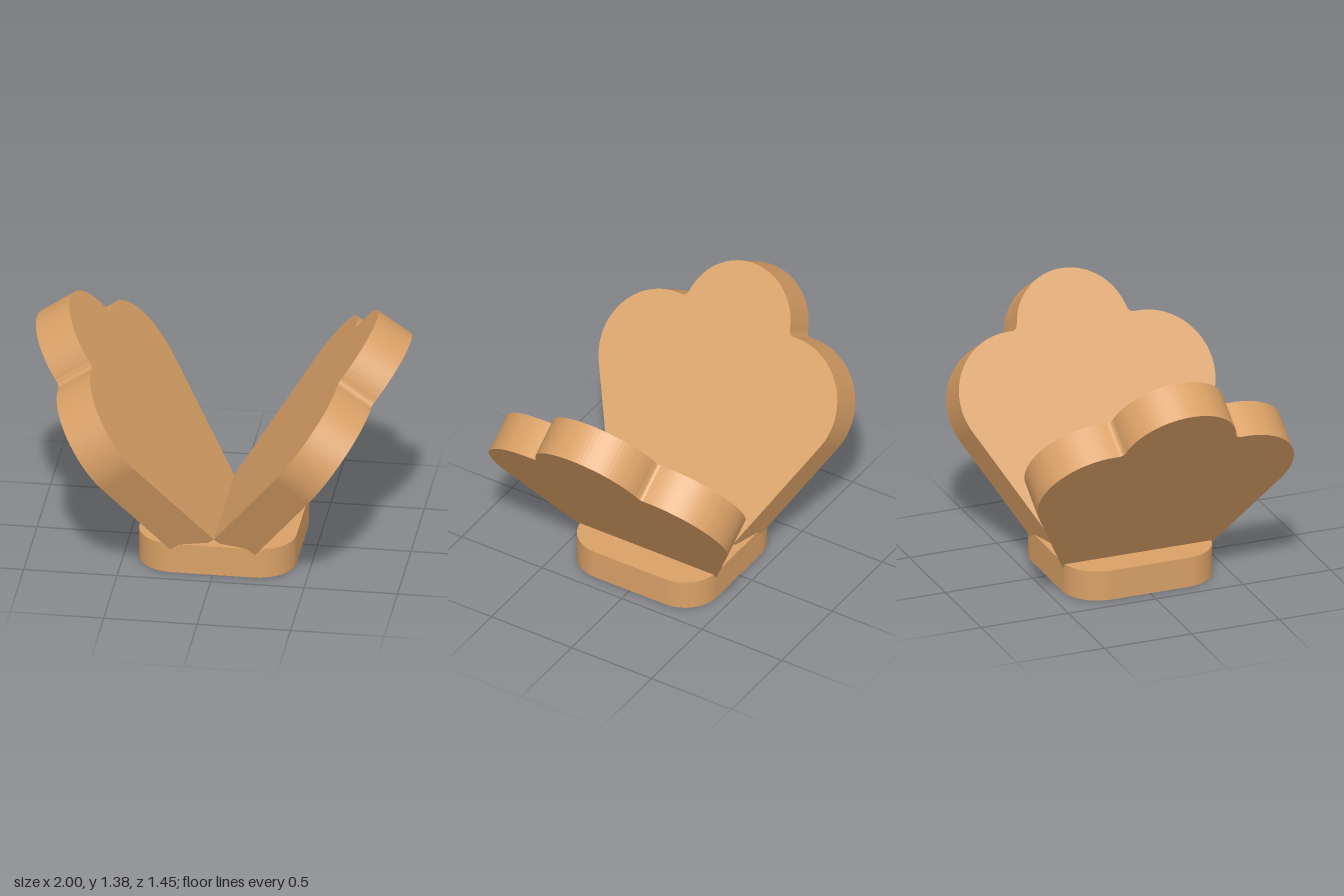
import * as THREE from 'three';

const BASE_HALF = 0.42, BASE_R = 0.2, BASE_H = 0.168, HOLE_DEPTH = 0.11;
const TILT = THREE.MathUtils.degToRad(55.3), THICK = 0.218;

function roundedSquare(h, r) {
  const s = new THREE.Shape(), c = h - r;
  s.absarc(c, c, r, 0, Math.PI / 2);
  s.absarc(-c, c, r, Math.PI / 2, Math.PI);
  s.absarc(-c, -c, r, Math.PI, Math.PI * 1.5);
  s.absarc(c, -c, r, Math.PI * 1.5, Math.PI * 2);
  s.closePath();
  return s;
}

// Three-lobed fan outline, running up from its narrow foot at y = 0
function fanOutline() {
  const a = Math.atan(0.465); // flare of the straight sides
  const s = new THREE.Shape();
  s.moveTo(-0.38, 0);
  s.lineTo(0.38, 0);
  s.absarc(0.375, 0.802, 0.35, -a, Math.PI / 2);
  s.lineTo(0.345, 1.152);
  s.quadraticCurveTo(0.322, 1.152, 0.318, 1.178); // small fillet in the notch
  s.absarc(0, 1.123, 0.32, 0.19, Math.PI - 0.19);
  s.quadraticCurveTo(-0.322, 1.152, -0.345, 1.152);
  s.absarc(-0.375, 0.802, 0.35, Math.PI / 2, Math.PI + a);
  s.closePath();
  return s;
}

function extrude(shape, depth) {
  return new THREE.ExtrudeGeometry(shape, { depth, bevelEnabled: false, curveSegments: 18 });
}

export function createModel() {
  const model = new THREE.Group();
  const tan = new THREE.MeshStandardMaterial({ color: 0xd9a066 });
  tan.name = 'tan';
  const add = (geometry, name) => {
    const mesh = new THREE.Mesh(geometry, tan);
    mesh.name = name;
    model.add(mesh);
    return mesh;
  };

  // Base: lower layer with four blind holes, closed by a solid upper layer
  const drilled = roundedSquare(BASE_HALF, BASE_R);
  for (const x of [-1, 1]) for (const y of [-1, 1]) {
    drilled.holes.push(new THREE.Path().absarc(x * 0.214, y * 0.214, 0.115, 0, Math.PI * 2, true));
  }
  add(extrude(drilled, HOLE_DEPTH).rotateX(-Math.PI / 2), 'baseWithHoles');
  add(extrude(roundedSquare(BASE_HALF, BASE_R), BASE_H - HOLE_DEPTH)
    .rotateX(-Math.PI / 2).translate(0, HOLE_DEPTH, 0), 'baseTop');

  // Two fan plates leaning outward in a V, their inner faces meeting at x = 0
  const c = Math.cos(TILT), s = Math.sin(TILT);
  const lean = new THREE.Matrix4().makeBasis(
    new THREE.Vector3(0, 0, -1), new THREE.Vector3(c, s, 0), new THREE.Vector3(s, -c, 0)
  ).setPosition(0, 0.19, 0);
  const plate = extrude(fanOutline(), THICK).applyMatrix4(lean);
  add(plate, 'leftFanPlate');
  add(plate, 'rightFanPlate').rotation.y = Math.PI;

  return model;
}
